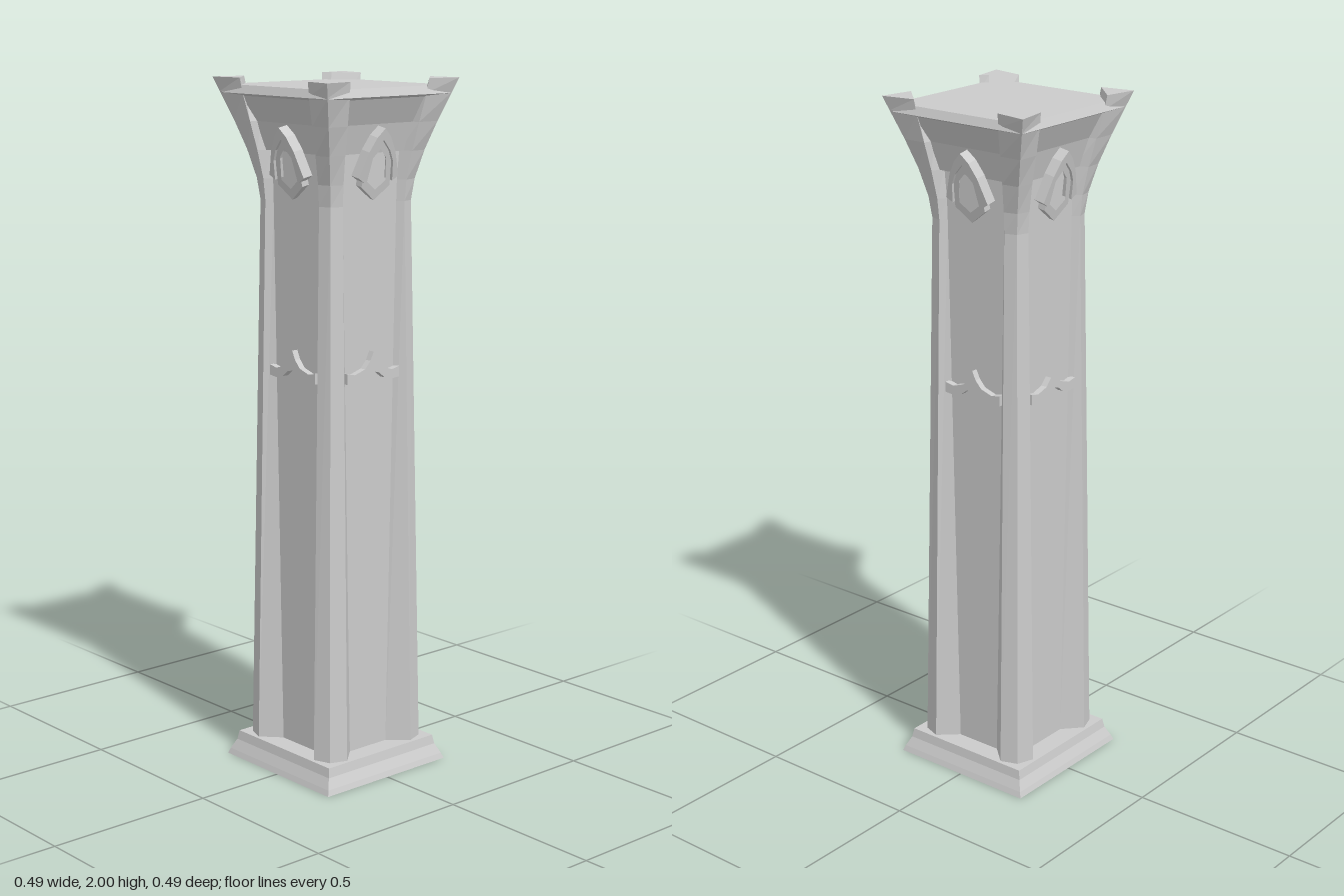
import * as THREE from 'three';

const material = new THREE.MeshStandardMaterial({ color: 0xcccccc, flatShading: true });

// Skin a stack of rings (arrays of [x, y, z], counter-clockwise from above), capped at both ends
function loft(rings) {
  const pos = [];
  const tri = (a, b, c) => pos.push(...a, ...b, ...c);
  const n = rings[0].length;
  for (let r = 0; r < rings.length - 1; r++) {
    const lo = rings[r], hi = rings[r + 1];
    for (let i = 0; i < n; i++) {
      const j = (i + 1) % n;
      tri(lo[i], lo[j], hi[j]);
      tri(lo[i], hi[j], hi[i]);
    }
  }
  const bottom = rings[0], top = rings[rings.length - 1];
  for (let i = 1; i < n - 1; i++) {
    tri(top[0], top[i], top[i + 1]);
    tri(bottom[0], bottom[i + 1], bottom[i]);
  }
  const g = new THREE.BufferGeometry();
  g.setAttribute('position', new THREE.Float32BufferAttribute(pos, 3));
  g.computeVertexNormals();
  return g;
}

// Square block from a profile of [halfWidth, y]
const squareLoft = (profile) =>
  loft(profile.map(([h, y]) => [[-h, y, h], [h, y, h], [h, y, -h], [-h, y, -h]]));

// Closed outline from right-half points, mirrored in x
function mirrored(points) {
  const left = points.filter(([x]) => x > 0).reverse().map(([x, y]) => [-x, y]);
  return [...points, ...left].map(([x, y]) => new THREE.Vector2(x, y));
}

function plate(outline, depth, hole) {
  const shape = new THREE.Shape(mirrored(outline));
  if (hole) shape.holes.push(new THREE.Path(mirrored(hole)));
  return new THREE.ExtrudeGeometry(shape, { depth, bevelEnabled: false });
}

function mesh(name, geometry) {
  const m = new THREE.Mesh(geometry, material);
  m.name = name;
  return m;
}

export function createModel() {
  const model = new THREE.Group();
  model.name = 'pillar';

  // Plinth, recessed shaft and flared capital
  model.add(mesh('plinth', squareLoft([[0.228, 0], [0.222, 0.016], [0.208, 0.045], [0.203, 0.072]])));
  model.add(mesh('shaft', squareLoft([[0.143, 0.06], [0.143, 1.82]])));
  model.add(mesh('capital', squareLoft([
    [0.158, 1.80], [0.178, 1.88], [0.212, 1.95], [0.228, 1.957], [0.217, 1.98],
  ])));

  // Corner rib sections: y, corner, outer face, outer edge, inner edge, inner depth
  const ribSections = [
    [0.065, 0.175, 0.193, 0.125, 0.07, 0.143],
    [1.66, 0.150, 0.161, 0.115, 0.10, 0.143],
    [1.72, 0.157, 0.166, 0.117, 0.102, 0.143],
    [1.80, 0.176, 0.181, 0.124, 0.108, 0.145],
    [1.88, 0.201, 0.200, 0.132, 0.125, 0.165],
    [1.96, 0.229, 0.219, 0.141, 0.155, 0.198],
    [2.0, 0.243, 0.225, 0.145, 0.165, 0.205],
  ];
  const ribGeometry = loft(ribSections.map(([y, c, o, e, i, d]) =>
    [[e, y, o], [c, y, c], [o, y, e], [d, y, i], [i, y, d]]));

  // Wavy band with a central peak
  const bandGeometry = plate([
    [0, 1.247], [0.012, 1.222], [0.032, 1.2], [0.07, 1.188], [0.098, 1.194],
    [0.098, 1.164], [0.07, 1.161], [0.042, 1.168], [0.02, 1.185], [0, 1.19],
  ], 0.025);

  // Pointed arch over a five-sided frame, drawn from its lower tip
  const archGeometry = plate([
    [0, 0.205], [0.025, 0.18], [0.048, 0.14], [0.073, 0.068], [0.052, 0.055],
    [0.045, 0.11], [0.03, 0.14], [0, 0.172],
  ], 0.032);
  const frameGeometry = plate(
    [[0, 0.174], [0.031, 0.141], [0.046, 0.11], [0.052, 0.04], [0, 0]], 0.024,
    [[0, 0.145], [0.024, 0.12], [0.034, 0.055], [0, 0.03]]);

  // The same dressing on all four sides
  for (let k = 0; k < 4; k++) {
    const side = new THREE.Group();
    side.name = 'side' + (k + 1);
    side.rotation.y = k * Math.PI / 2;

    const band = mesh('band', bandGeometry);
    band.position.z = 0.137;

    const emblem = new THREE.Group();
    emblem.name = 'archOrnament';
    emblem.position.set(0, 1.675, 0.135);
    emblem.rotation.x = 0.2;
    emblem.add(mesh('arch', archGeometry), mesh('frame', frameGeometry));

    side.add(mesh('cornerRib', ribGeometry), band, emblem);
    model.add(side);
  }
  return model;
}
